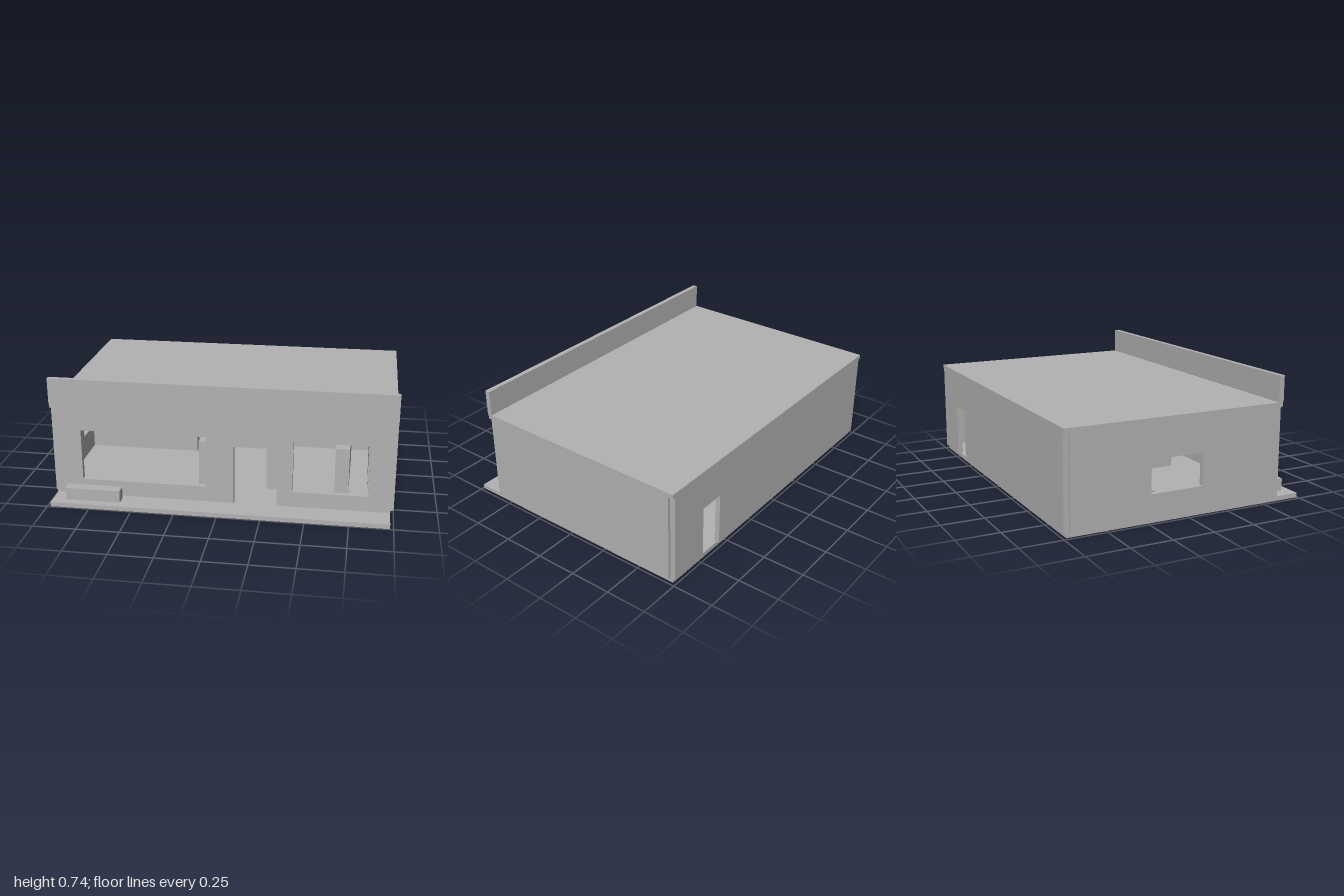
import * as THREE from 'three';

export function createModel() {
  const model = new THREE.Group();
  const grey = new THREE.MeshStandardMaterial({ color: 0xb2b2b2 });
  grey.name = 'plain grey';

  const add = (name, geometry) => {
    const mesh = new THREE.Mesh(geometry, grey);
    mesh.name = name;
    model.add(mesh);
    return mesh;
  };

  // Box given by its limits on each axis
  const box = (name, x0, x1, y0, y1, z0, z1) => {
    const g = new THREE.BoxGeometry(x1 - x0, y1 - y0, z1 - z0);
    g.translate((x0 + x1) / 2, (y0 + y1) / 2, (z0 + z1) / 2);
    return add(name, g);
  };

  // Upright wall in the XY plane with rectangular openings [x0, x1, y0, y1]
  const FLOOR = 0.027, CEILING = 0.56, T = 0.03;
  const rect = (path, x0, x1, y0, y1) =>
    path.moveTo(x0, y0).lineTo(x1, y0).lineTo(x1, y1).lineTo(x0, y1).closePath();
  const wallGeometry = (x0, x1, windows, doors = []) => {
    const shape = new THREE.Shape();
    shape.moveTo(x0, FLOOR);
    for (const [a, b, top] of doors) {
      shape.lineTo(a, FLOOR).lineTo(a, top).lineTo(b, top).lineTo(b, FLOOR);
    }
    shape.lineTo(x1, FLOOR).lineTo(x1, CEILING).lineTo(x0, CEILING).closePath();
    for (const w of windows) {
      const hole = new THREE.Path();
      rect(hole, ...w);
      shape.holes.push(hole);
    }
    return new THREE.ExtrudeGeometry(shape, { depth: T, bevelEnabled: false });
  };

  // Ground slab, roof and front parapet
  box('groundSlab', -0.98, 0.98, 0, FLOOR, -0.73, 0.745);
  box('roof', -1, 1, CEILING, 0.587, -0.745, 0.6);
  box('parapet', -1, 1, 0.587, 0.74, 0.575, 0.605);

  // Front wall with two shop windows and the entrance
  add('frontWall', wallGeometry(-0.983, 0.983,
    [[-0.82, -0.08, 0.12, 0.43], [0.42, 0.85, 0.12, 0.43]],
    [[0.08, 0.33, 0.38]]).translate(0, 0, 0.57));

  // Back wall with service door
  add('backWall', wallGeometry(-0.983, 0.983, [], [[0.575, 0.73, 0.35]])
    .translate(0, 0, -0.745));

  // Side walls, leaving small notches at the corners; the right one has a window
  box('leftWall', 0.97, 1, FLOOR, CEILING, -0.715, 0.57);
  add('rightWall', wallGeometry(-0.715, 0.57, [[-0.24, 0.08, 0.17, 0.36]])
    .rotateY(-Math.PI / 2).translate(-0.97, 0, 0));

  // Partition to the back room, with a doorway behind the counter
  add('partition', wallGeometry(-0.97, 0.97, [], [[-0.74, -0.59, 0.35]])
    .translate(0, 0, -0.33));

  // Shop fittings
  for (const x of [-0.165, 0.245, 0.652]) {
    box('shelfUnit', x, x + 0.083, FLOOR, 0.31, -0.14, 0.38);
  }
  box('counter', -0.97, -0.27, FLOOR, 0.17, -0.2, -0.13);
  box('wallCabinet', 0.845, 0.97, FLOOR, 0.36, -0.3, 0.3);

  // Block on the front walkway
  box('planter', -0.9, -0.577, FLOOR, 0.1, 0.632, 0.695);

  return model;
}
